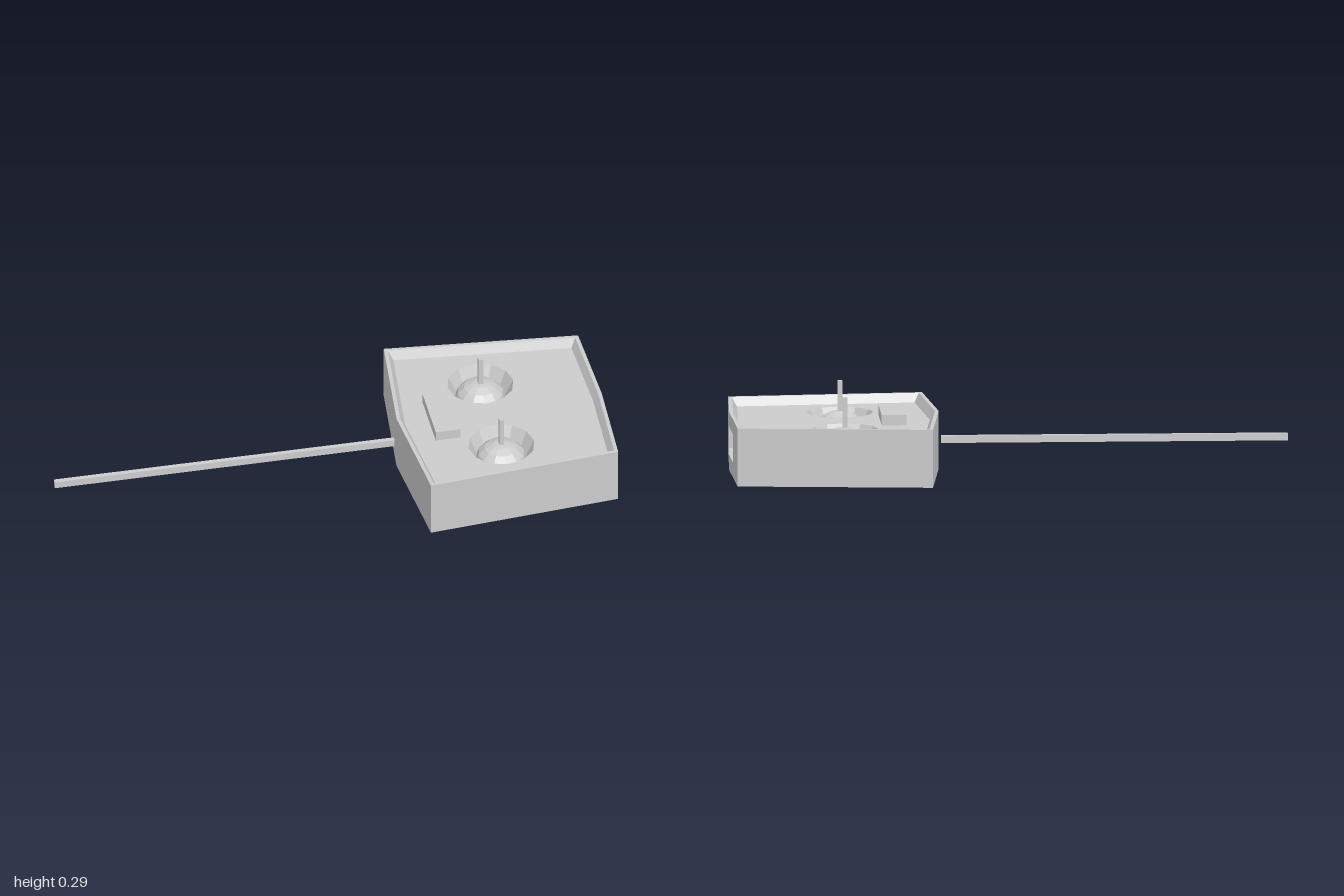
import * as THREE from 'three';

const HEIGHT = 0.21, FLOOR = 0.178, STICK_X = 0.595, STICK_Z = 0.185;
const material = new THREE.MeshStandardMaterial({ color: 0xcccccc, flatShading: true });

// Case outline seen from above, as [x, z]
const OUTLINE = [[0.987, 0.355], [1, 0], [0.987, -0.355], [0.29, -0.417], [0.25, 0], [0.29, 0.417]];

// Outline moved inward by t and placed at height y
function ring(t, y) {
  return OUTLINE.map(([x, z]) => [0.63 + (x - 0.63) * (1 - t / 0.36), y, z * (1 - t / 0.39)]);
}

// Flat-shaded geometry from a list of four-cornered faces
function quadGeometry(quads) {
  const positions = [];
  for (const [a, b, c, d] of quads) positions.push(...a, ...b, ...c, ...a, ...c, ...d);
  const geometry = new THREE.BufferGeometry();
  geometry.setAttribute('position', new THREE.Float32BufferAttribute(positions, 3));
  geometry.computeVertexNormals();
  return geometry;
}

function add(group, name, geometry, x = 0, y = 0, z = 0) {
  const mesh = new THREE.Mesh(geometry, material);
  mesh.name = name;
  mesh.position.set(x, y, z);
  group.add(mesh);
  return mesh;
}

// Quads joining two rings, starting at a given side
function joinRings(lower, upper, first = 0) {
  const quads = [];
  for (let i = first; i < lower.length; i++) {
    const j = (i + 1) % lower.length;
    quads.push([lower[i], lower[j], upper[j], upper[i]]);
  }
  return quads;
}

// Horizontal plate following a ring, with optional round holes
function plate(points, holes = []) {
  const shape = new THREE.Shape(points.map(([x, , z]) => new THREE.Vector2(x, -z)));
  for (const [x, z, r] of holes) {
    const circle = [];
    for (let i = 0; i < 12; i++) {
      const a = (i / 12) * Math.PI * 2;
      circle.push(new THREE.Vector2(x + r * Math.cos(a), -z + r * Math.sin(a)));
    }
    shape.holes.push(new THREE.Path(circle));
  }
  return new THREE.ShapeGeometry(shape).rotateX(-Math.PI / 2);
}

// Side wall with the rectangular pocket opening
function pocketWall() {
  const lo = 0.055, hi = 0.157, back = 0.76;
  const path = [[0.987, 0.355], [0.994, 0.163], [1, 0], [0.994, -0.163], [0.987, -0.355]];
  const quads = [];
  const wall = (a, b, y0, y1) => quads.push(
    [[a[0], y0, a[1]], [b[0], y0, b[1]], [b[0], y1, b[1]], [a[0], y1, a[1]]]);
  for (let i = 0; i < 4; i++) {
    const a = path[i], b = path[i + 1];
    if (i === 0 || i === 3) { wall(a, b, 0, HEIGHT); continue; }
    wall(a, b, 0, lo);
    wall(a, b, hi, HEIGHT);
    // Pocket floor and ceiling
    quads.push([[a[0], lo, a[1]], [b[0], lo, b[1]], [back, lo, b[1]], [back, lo, a[1]]]);
    quads.push([[back, hi, a[1]], [back, hi, b[1]], [b[0], hi, b[1]], [a[0], hi, a[1]]]);
  }
  // Pocket sides and back
  wall(path[1], [back, 0.163], lo, hi);
  wall([back, 0.163], [back, -0.163], lo, hi);
  wall([back, -0.163], path[3], lo, hi);
  return quads;
}

export function createModel() {
  const model = new THREE.Group();
  model.name = 'remoteControl';

  // Case: outer walls, rim and sloping inner walls
  const bottom = ring(0, 0), top = ring(0, HEIGHT);
  const rim = ring(0.013, HEIGHT), inner = ring(0.03, FLOOR);
  add(model, 'caseWalls', quadGeometry([...joinRings(bottom, top, 2), ...pocketWall()]));
  add(model, 'caseRim', quadGeometry([...joinRings(top, rim), ...joinRings(rim, inner)]));
  add(model, 'caseBottom', plate(bottom).rotateX(Math.PI));

  // Sunken top panel with two stick openings
  const holes = [1, -1].map(s => [STICK_X, s * STICK_Z, 0.12]);
  add(model, 'topPanel', plate(inner, holes), 0, FLOOR, 0);

  // Bowl with a dome in its middle, and the stick on the dome
  const profile = [[0.12, FLOOR], [0.092, 0.12], [0.083, 0.145], [0.06, 0.168], [0.03, 0.181], [0, 0.185]]
    .map(([r, y]) => new THREE.Vector2(r, y));
  for (const [side, s] of [['left', 1], ['right', -1]]) {
    const control = new THREE.Group();
    control.name = (s > 0 ? 'front' : 'back') + 'Control';
    control.position.set(STICK_X, 0, s * STICK_Z);
    add(control, 'bowlAndDome', new THREE.LatheGeometry(profile, 12));
    add(control, 'stick', new THREE.BoxGeometry(0.017, 0.115, 0.02), 0, 0.2345, 0);
    model.add(control);
  }

  // Raised block on the panel
  add(model, 'panelBlock', new THREE.BoxGeometry(0.09, 0.045, 0.23), 0.415, 0.1925, 0);

  // Long thin antenna
  add(model, 'antenna', new THREE.BoxGeometry(1.242, 0.026, 0.018), -0.379, 0.108, 0);
  return model;
}
